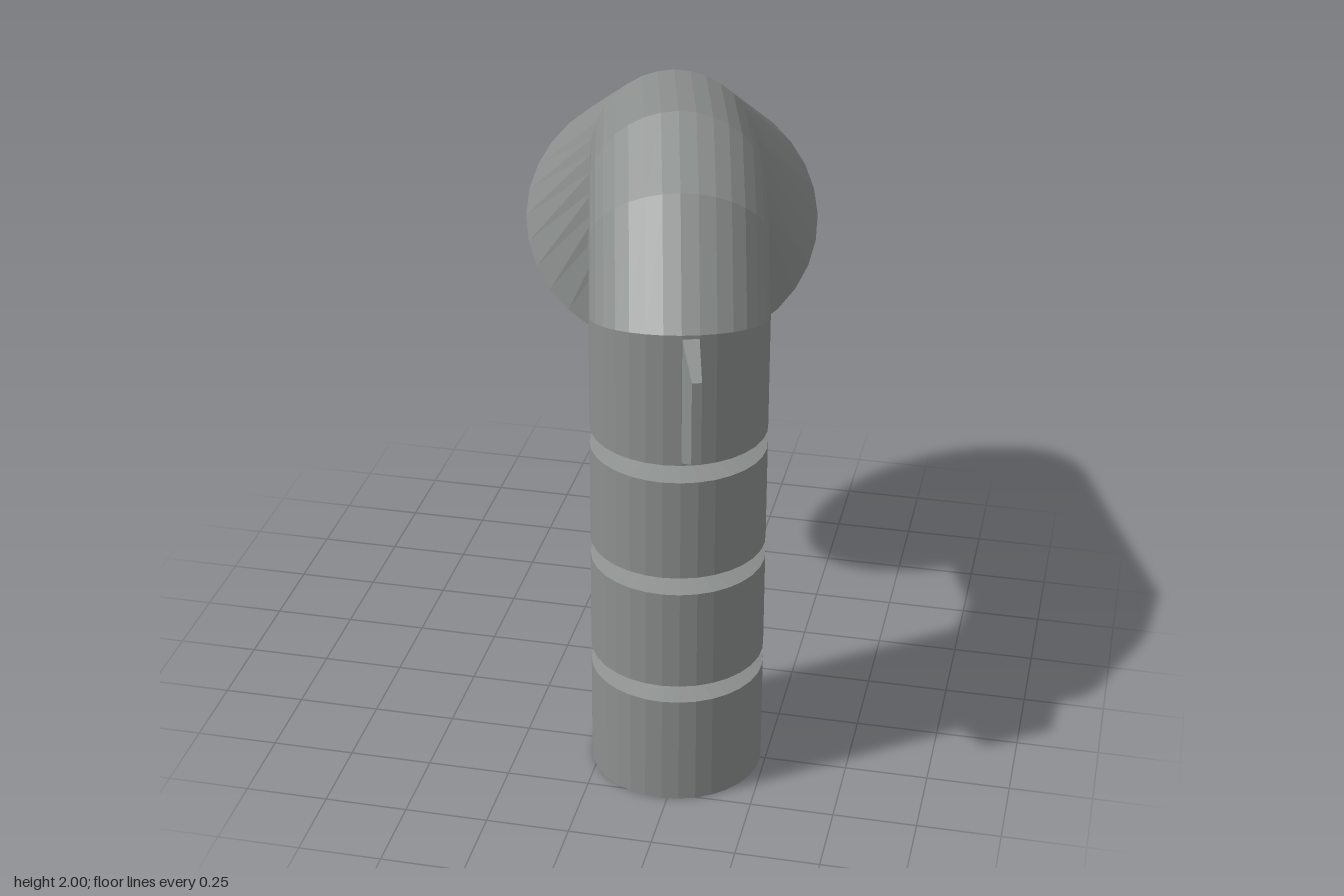
import * as THREE from 'three';

const SIDES = 32;
const R = 0.26; // pipe radius
const AXIS = { x: 0.225, z: 0.515 }; // column position
const YAW = 0.227; // heading of the bend, turned from straight back
const BACK = new THREE.Vector3(-Math.sin(YAW), 0, -Math.cos(YAW));
const SIDE = new THREE.Vector3(Math.cos(YAW), 0, -Math.sin(YAW));

// A ring is { s, y, hs, hy, r }: centre and half height in the bend plane, half width across it.
const ring = (s, y, hs, hy, r = R) => ({ s, y, hs, hy, r });

// Skin a row of rings, outside facing out
function loft(rings) {
  const pos = [], index = [], row = SIDES + 1;
  for (const g of rings) {
    for (let i = 0; i <= SIDES; i++) {
      const a = (i / SIDES) * Math.PI * 2;
      const s = g.s + g.hs * Math.cos(a), l = g.r * Math.sin(a);
      pos.push(
        AXIS.x + BACK.x * s + SIDE.x * l,
        g.y + g.hy * Math.cos(a),
        AXIS.z + BACK.z * s + SIDE.z * l
      );
    }
  }
  for (let j = 0; j < rings.length - 1; j++) {
    for (let i = 0; i < SIDES; i++) {
      const a = j * row + i, b = a + 1, c = b + row, d = a + row;
      index.push(a, b, c, a, c, d);
    }
  }
  const geo = new THREE.BufferGeometry();
  geo.setAttribute('position', new THREE.Float32BufferAttribute(pos, 3));
  geo.setIndex(index);
  const flat = geo.toNonIndexed();
  flat.computeVertexNormals();
  return flat;
}

export function createModel() {
  const group = new THREE.Group();
  const metal = new THREE.MeshStandardMaterial({ color: 0x8c908e });
  metal.name = 'greyMetal';
  metal.flatShading = true;
  metal.side = THREE.DoubleSide;

  const add = (name, geo) => {
    const mesh = new THREE.Mesh(geo, metal);
    mesh.name = name;
    group.add(mesh);
  };

  // Upright pipe, open below, with three V grooves
  const level = (y, r = R) => ring(0, y, -r, 0, r);
  const mouth = ring(0, 1.48, -R, 0.06);
  const column = [level(0)];
  for (const y of [0.37, 0.738, 1.106]) {
    column.push(level(y - 0.028), level(y, 0.15), level(y + 0.028));
  }
  column.push(mouth);
  add('column', loft(column));

  // Segmented elbow and the straight run behind it
  const neck = ring(0.795, 1.66, 0.128, 0.23);
  add('elbow', loft([
    mouth,
    ring(0.135, 1.65, -0.145, 0.21),
    ring(0.31, 1.74, -0.045, 0.26),
    neck,
  ]));

  // Flared horn pointing back and down
  const flare = (r, depth = 0) => ring(
    1.088 - 0.669 * depth, 1.335 + 0.743 * depth, 0.743 * r, 0.669 * r, r
  );
  add('horn', loft([neck, flare(0.472)]));
  add('hornRim', loft([flare(0.472), flare(0.385)]));
  add('hornRecess', loft([flare(0.385), flare(0.32, 0.12)]));
  add('hornBackplate', loft([flare(0.32, 0.12), flare(0, 0.12)]));

  // Tapered fin on the front of the pipe
  const fin = new THREE.BoxGeometry(1, 1, 1);
  const p = fin.attributes.position;
  for (let i = 0; i < p.count; i++) {
    const tip = p.getZ(i) > 0;
    p.setXYZ(i,
      p.getX(i) * (tip ? 0.028 : 0.05),
      1.335 + p.getY(i) * (tip ? 0.25 : 0.4),
      tip ? 0.395 : 0.245);
  }
  fin.rotateY(0.326);
  fin.translate(AXIS.x, 0, AXIS.z);
  fin.computeVertexNormals();
  add('fin', fin);

  return group;
}
